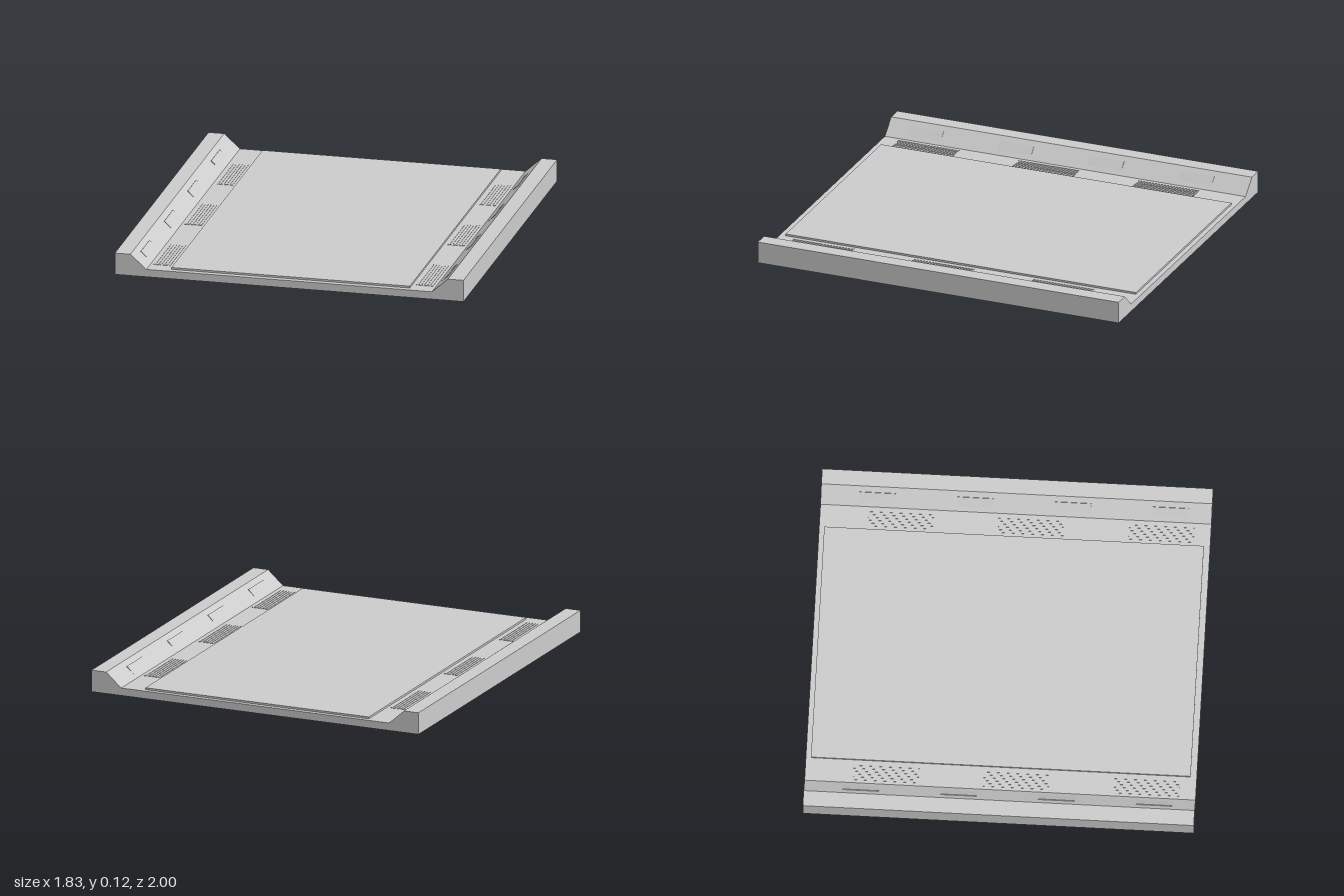
import * as THREE from 'three';

const material = new THREE.MeshStandardMaterial({ color: 0xcccccc, flatShading: true });

function addBox(parent, name, size, position) {
  const mesh = new THREE.Mesh(new THREE.BoxGeometry(...size), material);
  mesh.name = name;
  mesh.position.set(...position);
  parent.add(mesh);
  return mesh;
}

export function createModel() {
  const model = new THREE.Group();
  model.name = 'platform';

  // Tray body: flat floor with a raised, bevelled rail along each side
  const half = [[0.917, 0], [0.917, 0.115], [0.835, 0.115], [0.751, 0.04]];
  const outline = [...half, ...half.map(([x, y]) => [-x, y]).reverse()];
  const profile = new THREE.Shape(outline.map(([x, y]) => new THREE.Vector2(x, y)));
  const bodyGeometry = new THREE.ExtrudeGeometry(profile, { depth: 2, bevelEnabled: false });
  bodyGeometry.translate(0, 0, -1);
  const body = new THREE.Mesh(bodyGeometry, material);
  body.name = 'trayBody';
  model.add(body);

  // Thin raised deck
  addBox(model, 'deckPanel', [1.254, 0.012, 1.942], [0, 0.044, -0.003]);

  for (const side of [-1, 1]) {
    const label = side > 0 ? 'left' : 'right';

    // Slatted vents between deck and rail
    for (const z of [-0.585, 0.08, 0.747]) {
      const vent = new THREE.Group();
      vent.name = `${label}Vent`;
      for (let i = 0; i < 6; i++) {
        addBox(vent, 'ventSlat', [0.011, 0.006, 0.335], [side * (0.652 + i * 0.0155), 0.039, z]);
      }
      model.add(vent);
    }

    // Thin plates on the rail slope, slightly steeper than it so the top edge stands out
    for (const z of [-0.71, -0.21, 0.29, 0.79]) {
      const plate = addBox(model, `${label}SlopePlate`, [0.056, 0.004, 0.185], [side * 0.79, 0.0745, z]);
      plate.rotation.z = side * 0.8;
    }
  }
  return model;
}
